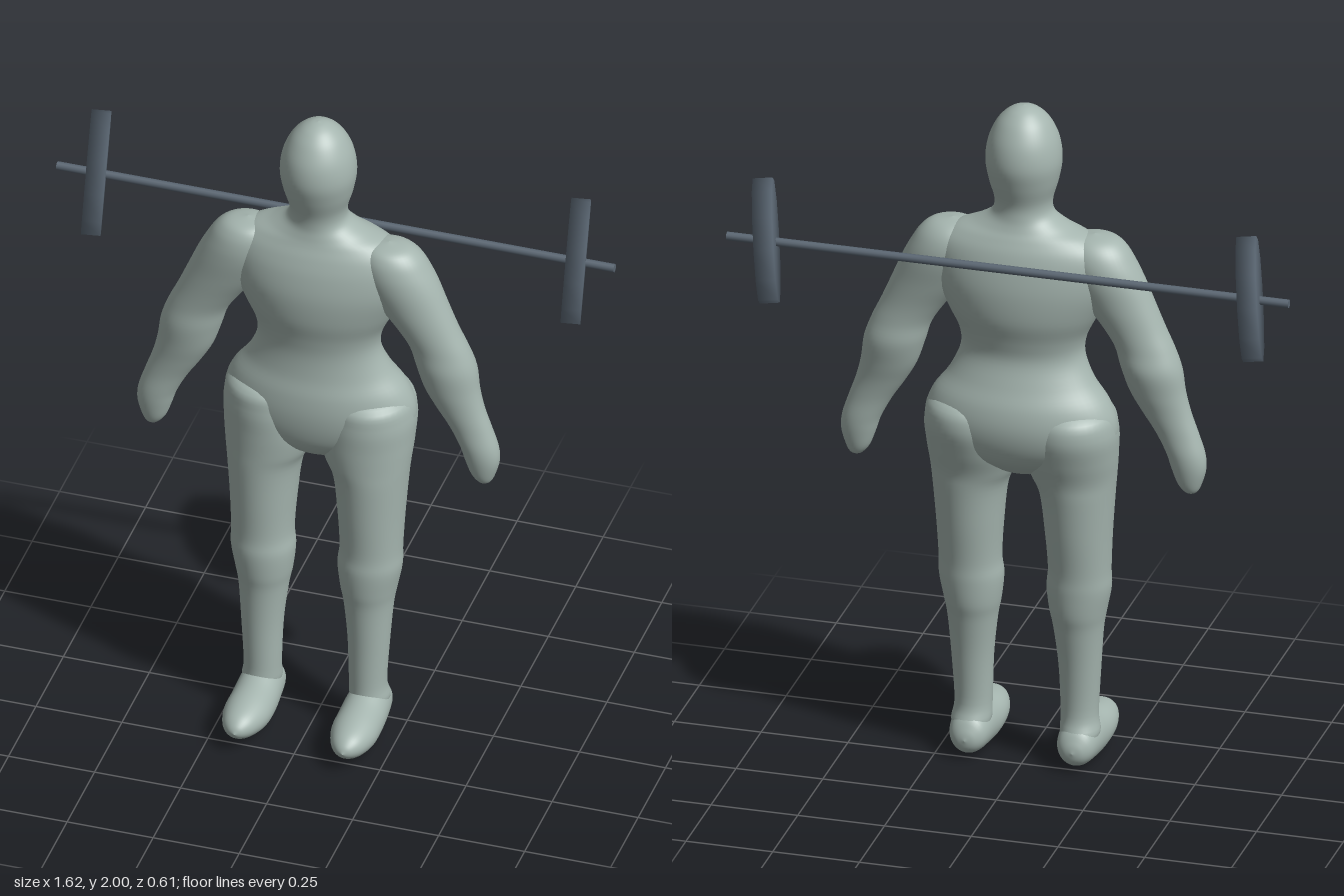
import * as THREE from 'three';
import { mergeVertices } from 'three/addons/utils/BufferGeometryUtils.js';

// Smooth skin over elliptical rings. Each row: [height, xMin, xMax, zMin, zMax]
function loft(rows, side = 1, around = 40, steps = 5) {
  const curve = (a, b) => new THREE.CatmullRomCurve3(
    rows.map(r => new THREE.Vector3(r[a], r[0], r[b])), false, 'catmullrom', 0.5);
  const low = curve(1, 3), high = curve(2, 4);
  const count = (rows.length - 1) * steps;
  const positions = [], index = [];
  for (let j = 0; j <= count; j++) {
    const p = low.getPoint(j / count), q = high.getPoint(j / count);
    const rx = Math.max(0, (q.x - p.x) / 2), rz = Math.max(0, (q.z - p.z) / 2);
    for (let i = 0; i < around; i++) {
      const a = (i / around) * Math.PI * 2;
      positions.push(side * (p.x + q.x) / 2 + rx * Math.cos(a), p.y, (p.z + q.z) / 2 + rz * Math.sin(a));
      if (j < count) {
        const n = (i + 1) % around, r = j * around, u = r + around;
        index.push(r + i, u + i, r + n, r + n, u + i, u + n);
      }
    }
  }
  const g = new THREE.BufferGeometry();
  g.setAttribute('position', new THREE.Float32BufferAttribute(positions, 3));
  g.setIndex(index);
  g.computeVertexNormals();
  return g;
}

// Cylinder along x with normals shared between rim and faces
function softDisc(radius, width, sides) {
  let g = new THREE.CylinderGeometry(radius, radius, width, sides);
  g.deleteAttribute('uv');
  g.deleteAttribute('normal');
  g = mergeVertices(g, 1e-4);
  g.rotateX(Math.PI / sides);
  g.rotateY(Math.PI / sides);
  g.rotateZ(Math.PI / 2);
  g.computeVertexNormals();
  return g;
}

// Symmetric rows for the trunk: [height, half width, back z, front z]
const trunkRows = [
  [0.885, 0, 0.02, 0.02], [0.895, 0.06, -0.02, 0.06], [0.92, 0.13, -0.06, 0.095],
  [0.96, 0.215, -0.105, 0.125], [1.01, 0.268, -0.13, 0.14], [1.07, 0.274, -0.14, 0.146],
  [1.13, 0.252, -0.132, 0.142], [1.19, 0.208, -0.108, 0.13], [1.26, 0.178, -0.086, 0.125],
  [1.32, 0.182, -0.094, 0.132], [1.39, 0.215, -0.113, 0.147], [1.47, 0.248, -0.118, 0.152],
  [1.54, 0.258, -0.11, 0.143], [1.59, 0.245, -0.097, 0.128], [1.625, 0.2, -0.08, 0.113],
  [1.65, 0.137, -0.066, 0.105], [1.68, 0.09, -0.056, 0.1], [1.72, 0.082, -0.054, 0.104],
  [1.78, 0.098, -0.072, 0.124], [1.84, 0.107, -0.085, 0.138], [1.9, 0.099, -0.077, 0.132],
  [1.95, 0.077, -0.053, 0.108], [1.98, 0.05, -0.025, 0.08], [1.995, 0.024, 0.002, 0.052],
  [2, 0, 0.027, 0.027],
].map(([y, w, b, f]) => [y, -w, w, b, f]);

const armRows = [
  [0.877, 0.48, 0.48, 0.025, 0.025], [0.885, 0.463, 0.5, 0.007, 0.043], [0.91, 0.443, 0.513, -0.006, 0.056],
  [0.955, 0.426, 0.525, -0.016, 0.066], [1.0, 0.411, 0.522, -0.02, 0.07], [1.06, 0.38, 0.503, -0.02, 0.07],
  [1.12, 0.341, 0.482, -0.026, 0.075], [1.18, 0.307, 0.467, -0.038, 0.083], [1.25, 0.283, 0.457, -0.05, 0.09],
  [1.31, 0.264, 0.436, -0.044, 0.088], [1.37, 0.225, 0.408, -0.044, 0.092], [1.44, 0.17, 0.378, -0.052, 0.1],
  [1.51, 0.13, 0.348, -0.062, 0.108], [1.56, 0.12, 0.322, -0.062, 0.108], [1.6, 0.125, 0.296, -0.048, 0.098],
  [1.625, 0.15, 0.262, -0.02, 0.075], [1.635, 0.205, 0.205, 0.025, 0.025],
];

const legRows = [
  [0.05, 0.13, 0.18, 0.0, 0.07], [0.1, 0.102, 0.212, -0.018, 0.108], [0.16, 0.1, 0.206, 0.0, 0.108],
  [0.3, 0.095, 0.214, -0.008, 0.11], [0.42, 0.082, 0.223, -0.026, 0.116], [0.48, 0.071, 0.233, -0.04, 0.125],
  [0.55, 0.064, 0.246, -0.047, 0.13], [0.61, 0.069, 0.246, -0.05, 0.126], [0.72, 0.062, 0.251, -0.065, 0.131],
  [0.84, 0.048, 0.26, -0.079, 0.136], [0.9, 0.022, 0.266, -0.088, 0.138], [0.97, 0.004, 0.273, -0.112, 0.14],
  [1.05, 0.01, 0.275, -0.132, 0.14], [1.11, 0.04, 0.25, -0.11, 0.12], [1.15, 0.14, 0.14, 0, 0],
];

// Foot rows run heel to toe: [z, xMin, xMax, top y, bottom y]
const footRows = [
  [-0.035, 0.155, 0.155, 0.065, 0.065], [-0.026, 0.125, 0.185, 0.095, 0.035], [0.0, 0.103, 0.207, 0.13, 0.016],
  [0.06, 0.094, 0.217, 0.146, 0.006], [0.13, 0.09, 0.22, 0.133, 0.002], [0.2, 0.092, 0.22, 0.125, 0.012],
  [0.26, 0.11, 0.205, 0.112, 0.03], [0.292, 0.133, 0.182, 0.092, 0.05], [0.305, 0.157, 0.157, 0.07, 0.07],
].map(([z, a, b, top, bottom]) => [z, a, b, -top, -bottom]);

export function createModel() {
  const group = new THREE.Group();
  const skin = new THREE.MeshStandardMaterial({ color: 0xa5b5af });
  skin.name = 'pale grey green';
  const iron = new THREE.MeshStandardMaterial({ color: 0x5a6672 });
  iron.name = 'slate iron';
  const add = (name, geometry, material) => {
    const mesh = new THREE.Mesh(geometry, material);
    mesh.name = name;
    group.add(mesh);
    return mesh;
  };

  // Figure
  add('trunkAndHead', loft(trunkRows, 1, 56), skin);
  for (const [label, side] of [['left', 1], ['right', -1]]) {
    add(label + 'Arm', loft(armRows, side), skin);
    add(label + 'Leg', loft(legRows, side), skin);
    add(label + 'Foot', loft(footRows, side).rotateX(Math.PI / 2), skin);
    // Weight plate
    add(label + 'Plate', softDisc(0.176, 0.055, 12), iron).position.set(side * 0.697, 1.567, -0.133);
  }

  // Barbell across the upper back
  const bar = new THREE.CylinderGeometry(0.012, 0.012, 1.62, 12).rotateZ(Math.PI / 2);
  add('bar', bar, iron).position.set(0, 1.567, -0.133);
  return group;
}
